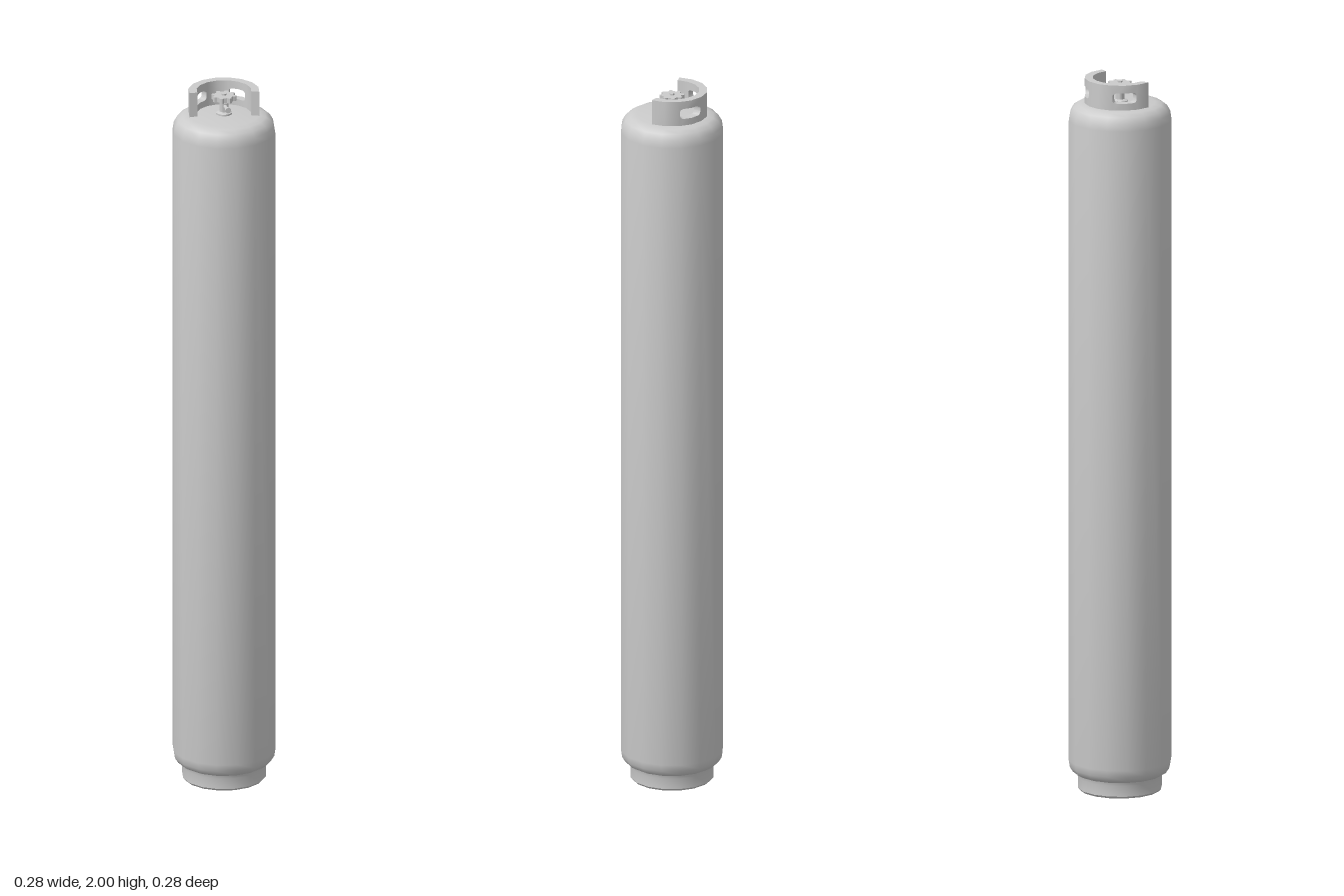
import * as THREE from 'three';
import { mergeGeometries, toCreasedNormals } from 'three/addons/utils/BufferGeometryUtils.js';

const CREASE = 0.6;
const STEP = Math.PI / 8;
const material = new THREE.MeshStandardMaterial({ color: 0xcccccc });

function addMesh(parent, name, geometry) {
  const mesh = new THREE.Mesh(toCreasedNormals(geometry, CREASE), material);
  mesh.name = name;
  parent.add(mesh);
  return mesh;
}

function lathe(points, sides) {
  return new THREE.LatheGeometry(points.map(([r, y]) => new THREE.Vector2(r, y)), sides);
}

// Flat panel one unit wide; a windowed panel has half of a rounded opening in its right edge
function panelShape(windowed, y0, y1) {
  const s = new THREE.Shape();
  s.moveTo(0, y0);
  s.lineTo(1, y0);
  if (windowed) {
    const lo = 1.949, hi = 1.978, c = 0.01, left = 0.1, bend = 0.38;
    s.lineTo(1, lo);
    s.lineTo(left + bend, lo);
    s.quadraticCurveTo(left, lo, left, lo + c);
    s.lineTo(left, hi - c);
    s.quadraticCurveTo(left, hi, left + bend, hi);
    s.lineTo(1, hi);
  }
  s.lineTo(1, y1);
  s.lineTo(0, y1);
  s.closePath();
  return s;
}

// Wraps one panel onto a single facet of the 16-sided guard ring
function collarPanel(index, kind) {
  const shape = panelShape(kind !== 'solid', 1.922, 2);
  if (kind === 'right') {
    const pts = shape.getPoints(4).map(p => new THREE.Vector2(1 - p.x, p.y)).reverse();
    shape.curves = [];
    shape.setFromPoints(pts);
  }
  const g = new THREE.ExtrudeGeometry(shape, { depth: 1, bevelEnabled: false, curveSegments: 4 });
  const a = (index - 1) * STEP, b = a + STEP;
  const pos = g.attributes.position;
  for (let i = 0; i < pos.count; i++) {
    const t = pos.getX(i), r = 0.075 + 0.022 * pos.getZ(i);
    pos.setX(i, r * THREE.MathUtils.lerp(Math.cos(a), Math.cos(b), t));
    pos.setZ(i, -r * THREE.MathUtils.lerp(Math.sin(a), Math.sin(b), t));
  }
  return g;
}

// Handwheel outline: a disc with eight rounded grips
function wheelGeometry() {
  const pts = [];
  const grips = 8;
  for (let i = 0; i < grips; i++) {
    const a = (i + 0.4) * Math.PI * 2 / grips;
    for (const [da, r] of [[-0.24, 0.027], [-0.16, 0.032], [-0.08, 0.034], [0.08, 0.034], [0.16, 0.032], [0.24, 0.027]]) {
      pts.push(new THREE.Vector2(r * Math.cos(a + da), r * Math.sin(a + da)));
    }
  }
  const g = new THREE.ExtrudeGeometry(new THREE.Shape(pts), { depth: 0.014, bevelEnabled: false });
  g.rotateX(-Math.PI / 2);
  g.translate(0, 1.972, 0);
  return g;
}

export function createModel() {
  const model = new THREE.Group();
  model.name = 'gasCylinder';

  // Tall tank with rounded shoulders
  addMesh(model, 'tank', lathe([
    [0, 0.03], [0.07, 0.032], [0.112, 0.042], [0.129, 0.052], [0.138, 0.066], [0.141, 0.085],
    [0.141, 1.882], [0.138, 1.902], [0.129, 1.918], [0.115, 1.927], [0.097, 1.93], [0, 1.932],
  ], 16));

  // Open foot ring
  addMesh(model, 'footRing', lathe([
    [0.097, 0.042], [0.097, 0.006], [0.1, 0], [0.11, 0], [0.115, 0.006], [0.115, 0.036], [0.118, 0.046],
  ], 16));

  // Guard collar around the back, with two hand openings
  const kinds = { 2: 'left', 3: 'right', 6: 'left', 7: 'right' };
  const panels = [];
  for (let i = 0; i < 9; i++) panels.push(collarPanel(i, kinds[i] || 'solid'));
  addMesh(model, 'guardCollar', mergeGeometries(panels));

  // Valve
  const valve = new THREE.Group();
  valve.name = 'valve';
  model.add(valve);
  addMesh(valve, 'valveBody', lathe([
    [0.022, 1.928], [0.022, 1.936], [0.013, 1.94], [0.013, 1.965],
    [0.009, 1.967], [0.009, 1.975], [0, 1.975],
  ], 12));
  addMesh(valve, 'handwheel', wheelGeometry());
  addMesh(valve, 'wheelNut', new THREE.CylinderGeometry(0.007, 0.007, 0.005, 6).translate(0, 1.988, 0));

  // Outlet pointing forward
  const outlet = lathe([
    [0.005, 0], [0.005, 0.037], [0.008, 0.038], [0.008, 0.046], [0, 0.046],
  ], 10);
  outlet.rotateX(Math.PI / 2);
  outlet.translate(0, 1.957, 0);
  addMesh(valve, 'outlet', outlet);

  return model;
}
